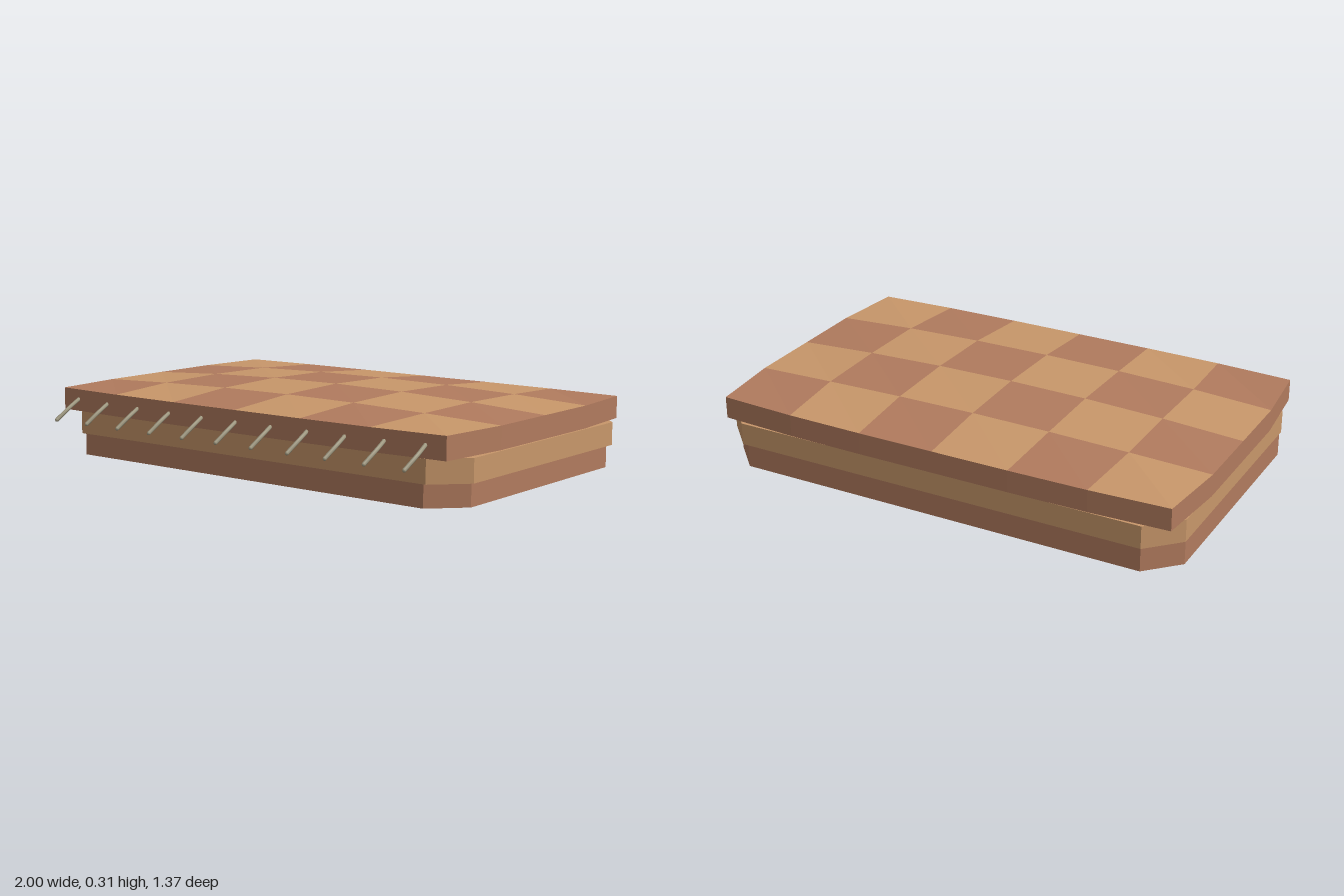
import * as THREE from 'three';

export function createModel() {
  const model = new THREE.Group();
  const material = (name, color, side = THREE.FrontSide) => {
    const m = new THREE.MeshStandardMaterial({ color, side });
    m.name = name;
    return m;
  };
  const tan = material('tan cloth', 0xc8976a);
  const russet = material('russet cloth', 0xb17b5e);
  const thread = material('fringe thread', 0xa29b82);

  const add = (name, geometry, mat, parent = model) => {
    const mesh = new THREE.Mesh(geometry, mat);
    mesh.name = name;
    parent.add(mesh);
    return mesh;
  };

  // Flat slab standing on y, from an outline of [x, z] points
  const slab = (points, y, height) => {
    const shape = new THREE.Shape(points.map(([x, z]) => new THREE.Vector2(x, -z)));
    return new THREE.ExtrudeGeometry(shape, { depth: height, bevelEnabled: false })
      .rotateX(-Math.PI / 2)
      .translate(0, y, 0);
  };

  // Rectangle with cut corners
  const cutCorners = (x0, x1, z0, z1, c) => [
    [x0 + c, z0], [x1 - c, z0], [x1, z0 + c], [x1, z1 - c],
    [x1 - c, z1], [x0 + c, z1], [x0, z1 - c], [x0, z0 + c],
  ];

  // Two folded layers underneath
  add('bottomLayer', slab(cutCorners(-0.985, 0.975, -0.683, 0.535, 0.122), 0, 0.093), russet);
  add('middleLayer', slab(cutCorners(-0.985, 1.0, -0.683, 0.557, 0.122), 0.093, 0.092), tan);

  // Top layer: patchwork grid that bulges outwards and domes in the middle
  const cols = 6, rows = 4, rim = 0.275;
  const gridPoint = (i, j) => {
    const u = (2 * i) / cols - 1, v = (2 * j) / rows - 1;
    const x = -0.004 + 0.995 * u * (Math.abs(v) === 1 ? 0.97 : 1);
    const pull = Math.abs(u) === 1 ? 0.968 : Math.abs(u) > 0.5 ? 0.993 : 1;
    const z = -0.057 + 0.628 * v * pull;
    return [x, rim + 0.033 * (1 - u * u) * (1 - v * v), z];
  };

  // Outline of the grid, walked once around
  const outline = [];
  for (let i = 0; i < cols; i++) outline.push(gridPoint(i, 0));
  for (let j = 0; j < rows; j++) outline.push(gridPoint(cols, j));
  for (let i = cols; i > 0; i--) outline.push(gridPoint(i, rows));
  for (let j = rows; j > 0; j--) outline.push(gridPoint(0, j));
  add('topLayer', slab(outline.map(([x, , z]) => [x, z]), 0.185, rim - 0.185), russet);

  // Checked patches
  const patches = [[], []];
  for (let i = 0; i < cols; i++) {
    for (let j = 0; j < rows; j++) {
      const a = gridPoint(i, j), b = gridPoint(i, j + 1);
      const c = gridPoint(i + 1, j + 1), d = gridPoint(i + 1, j);
      patches[(i + j) % 2].push(...a, ...b, ...c, ...a, ...c, ...d);
    }
  }
  patches.forEach((positions, k) => {
    const geometry = new THREE.BufferGeometry();
    geometry.setAttribute('position', new THREE.Float32BufferAttribute(positions, 3));
    geometry.computeVertexNormals();
    add(k ? 'russetPatches' : 'tanPatches', geometry, k ? russet : tan);
  });

  // Fringe along the front edge
  const fringe = new THREE.Group();
  fringe.name = 'fringe';
  model.add(fringe);
  const strand = new THREE.CatmullRomCurve3([
    new THREE.Vector3(-0.005, 0.238, 0.545),
    new THREE.Vector3(0.008, 0.207, 0.62),
    new THREE.Vector3(-0.005, 0.162, 0.678),
  ]);
  const strandGeometry = new THREE.TubeGeometry(strand, 6, 0.008, 6);
  const tip = new THREE.SphereGeometry(0.008, 6, 4);
  for (let i = -5; i <= 5; i++) {
    const x = i * 0.1755;
    add('fringeStrand', strandGeometry, thread, fringe).position.x = x;
    add('fringeTip', tip, thread, fringe).position.set(x - 0.005, 0.162, 0.678);
  }

  return model;
}
